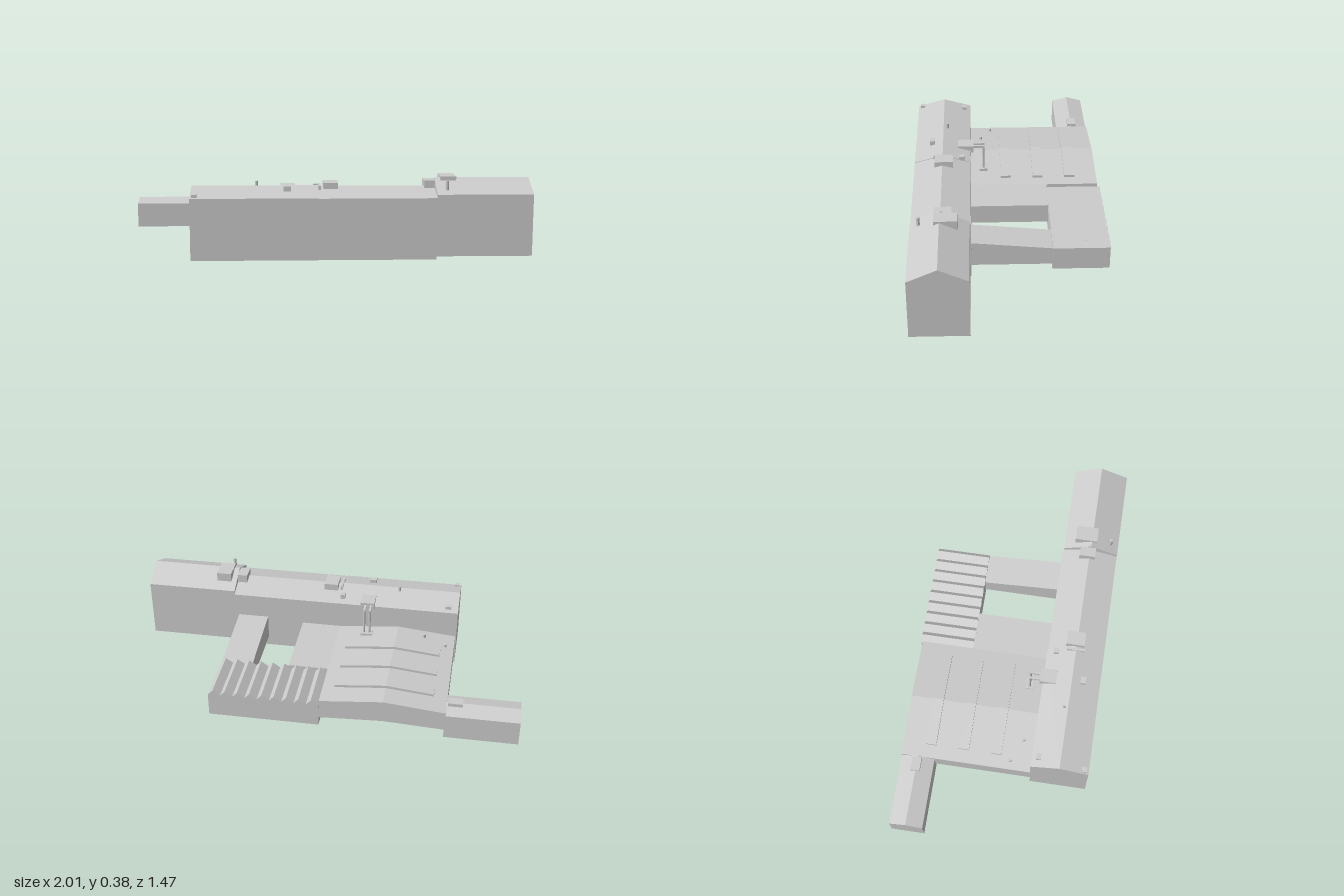
import * as THREE from 'three';

const material = new THREE.MeshStandardMaterial({ color: 0xcccccc, flatShading: true });

// Plan coordinates: u runs along the long block, v runs away from it (local x = u, z = -v).
export function createModel() {
  const model = new THREE.Group();
  const site = new THREE.Group();
  site.name = 'factory';
  site.position.set(-0.095, 0, 0.735);
  site.rotation.y = 0.82;
  model.add(site);

  const add = (name, geometry) => {
    const mesh = new THREE.Mesh(geometry, material);
    mesh.name = name;
    site.add(mesh);
    return mesh;
  };
  const extrude = (points, depth) => new THREE.ExtrudeGeometry(
    new THREE.Shape(points.map(([a, b]) => new THREE.Vector2(a, b))),
    { depth, bevelEnabled: false });

  // Profile of [v, y] points swept from u0 to u1
  const sweepU = (name, profile, u0, u1) =>
    add(name, extrude(profile, u1 - u0).rotateY(Math.PI / 2).translate(u0, 0, 0));
  // Profile of [u, y] points swept from v0 to v1
  const sweepV = (name, profile, v0, v1) =>
    add(name, extrude(profile, v1 - v0).translate(0, 0, -v1));
  const gable = (v0, v1, base, eave, ridge) =>
    [[v0, base], [v1, base], [v1, eave], [(v0 + v1) / 2, ridge], [v0, eave]];
  const box = (name, u, v, du, dv, y0, y1) =>
    add(name, new THREE.BoxGeometry(du, y1 - y0, dv).translate(u, (y0 + y1) / 2, -v));
  const post = (name, u, v, r, y0, y1) =>
    add(name, new THREE.CylinderGeometry(r, r, y1 - y0, 8).translate(u, (y0 + y1) / 2, -v));

  // Long block: lower run and taller end
  sweepU('longBlockFront', gable(0, 0.28, 0, 0.296, 0.336), 0, 0.605);
  sweepU('longBlockMiddle', gable(0, 0.278, 0, 0.294, 0.333), 0.605, 1.16);
  sweepU('longBlockEnd', gable(0, 0.272, 0.015, 0.31, 0.372), 1.16, 1.613);

  // Low hall with a shallow pitched roof
  sweepV('hall', [[0.005, 0.06], [0.3, 0.075], [0.605, 0.06],
    [0.605, 0.157], [0.3, 0.187], [0.005, 0.157]], 0.27, 0.922);
  sweepV('hallExtension', [[0.6, 0.06], [0.8, 0.06], [0.8, 0.157], [0.6, 0.157]], 0.27, 0.662);

  // Bent skylight strips following the hall roof
  for (const v of [0.458, 0.621, 0.784]) {
    sweepV('skylight', [[0.07, 0.155], [0.3, 0.178], [0.546, 0.155],
      [0.546, 0.175], [0.3, 0.2], [0.07, 0.175]], v - 0.026, v + 0.026);
  }

  // Sawtooth hall
  const teeth = 9, u0 = 0.605, u1 = 1.142, pitch = (u1 - u0) / teeth;
  const saw = [[u0, 0.022], [u1, 0.022], [u1, 0.138]];
  for (let i = teeth - 1; i >= 0; i--) {
    saw.push([u0 + (i + 0.6) * pitch, 0.163], [u0 + i * pitch, 0.138]);
  }
  sweepV('sawtoothHall', saw, 0.66, 0.932);

  // Sloped link between the sawtooth hall and the long block
  sweepU('link', [[0.27, 0.05], [0.662, 0.05], [0.662, 0.138], [0.27, 0.175]], 0.985, 1.14);

  // Small annex
  sweepU('annex', gable(0.757, 0.92, 0.015, 0.14, 0.162), -0.342, 0.01);
  box('annexVent', -0.035, 0.84, 0.07, 0.045, 0.14, 0.172);

  // Rooftop units on the long block
  box('roofUnit', 0.663, 0.147, 0.07, 0.09, 0.3, 0.352);
  box('roofSeam', 0.61, 0.14, 0.012, 0.09, 0.31, 0.34);
  box('roofUnit', 1.225, 0.165, 0.075, 0.11, 0.335, 0.38);
  box('roofUnit', 1.135, 0.15, 0.05, 0.08, 0.3, 0.36);
  box('roofVent', 0.456, 0.085, 0.035, 0.025, 0.305, 0.342);
  box('roofVent', 0.595, 0.235, 0.025, 0.025, 0.295, 0.328);
  box('roofVent', 0.051, 0.246, 0.03, 0.025, 0.29, 0.318);
  box('roofVent', 0.02, 0.022, 0.025, 0.025, 0.29, 0.314);
  post('chimney', 0.31, 0.16, 0.007, 0.32, 0.355);
  post('chimney', 1.21, 0.04, 0.008, 0.31, 0.37);

  // Ducting from the hall roof up to the long block
  box('ductHead', 0.46, 0.255, 0.07, 0.08, 0.285, 0.322);
  for (const du of [-0.014, 0.014]) {
    post('ductPipe', 0.455 + du, 0.345, 0.006, 0.16, 0.31);
    box('ductArm', 0.455 + du, 0.315, 0.011, 0.07, 0.3, 0.312);
  }
  box('ductBase', 0.455, 0.345, 0.06, 0.04, 0.16, 0.182);
  post('hallVent', 0.16, 0.334, 0.008, 0.16, 0.19);
  post('hallVent', 0.05, 0.385, 0.008, 0.15, 0.177);

  return model;
}
